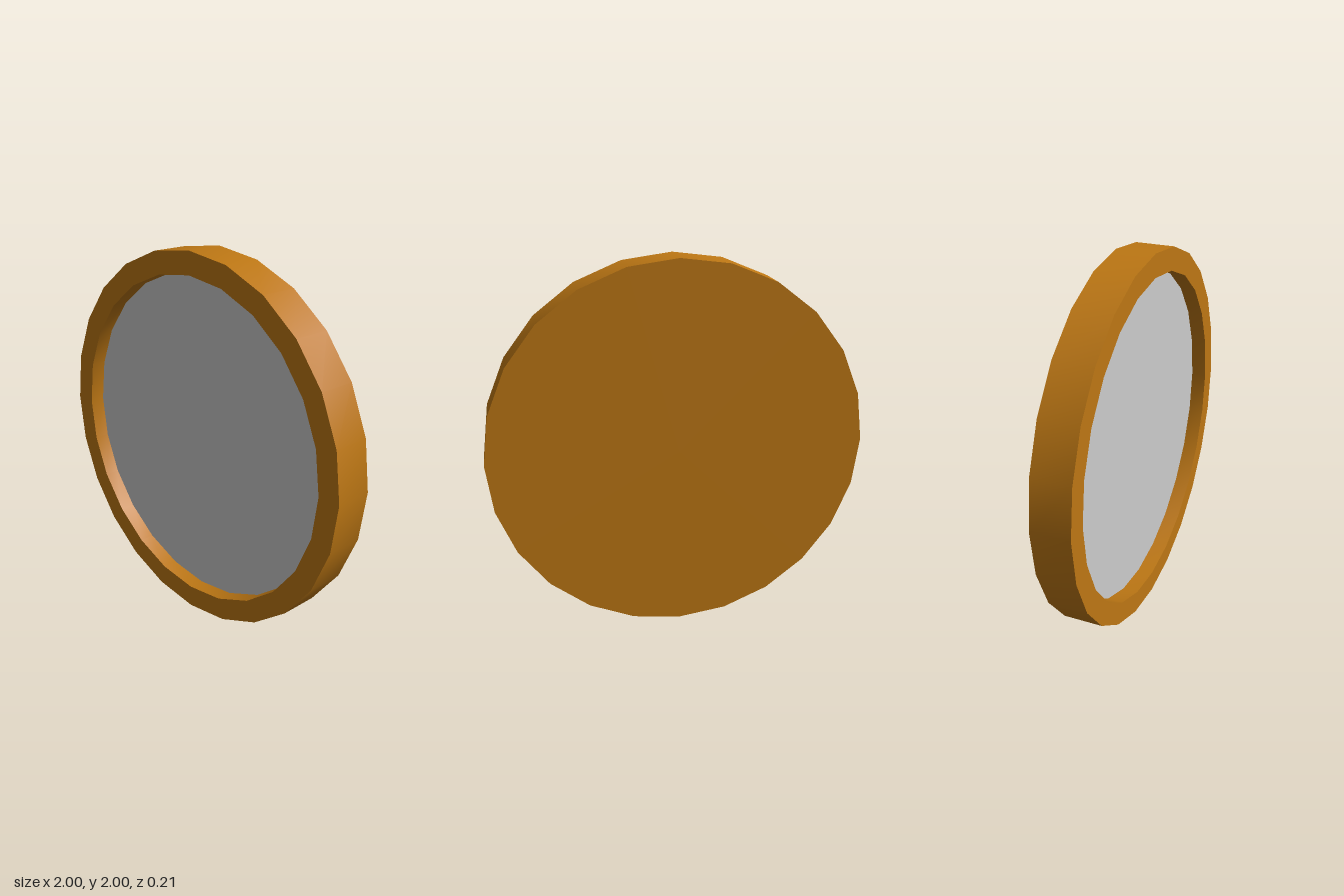
import * as THREE from 'three';
import { toCreasedNormals } from 'three/addons/utils/BufferGeometryUtils.js';

const SIDES = 24;
const OUTER = 1, INNER = 0.88;   // rim radii
const HALF = 0.103;              // half thickness
const FACE_Z = 0.02;             // recessed front face

export function createModel() {
  const group = new THREE.Group();
  group.name = 'roundFramedDisc';

  // Casing: closed back, outer wall, front rim and recess wall in one turned profile
  const profile = [
    [0, -HALF], [OUTER, -HALF], [OUTER, HALF], [INNER, HALF], [INNER, FACE_Z],
  ].map(([r, y]) => new THREE.Vector2(r, y));
  const casingGeometry = new THREE.LatheGeometry(profile, SIDES);
  casingGeometry.rotateX(Math.PI / 2);
  const casing = new THREE.Mesh(
    toCreasedNormals(casingGeometry, 0.6),
    new THREE.MeshStandardMaterial({ color: 0xbd7714 }),
  );
  casing.name = 'casing';

  // Flat panel set into the casing
  const panel = new THREE.Mesh(
    new THREE.CircleGeometry(INNER, SIDES),
    new THREE.MeshStandardMaterial({ color: 0xcccccc }),
  );
  panel.name = 'facePanel';
  panel.position.z = FACE_Z;

  group.add(casing, panel);
  for (const part of group.children) part.position.y = OUTER;
  return group;
}
